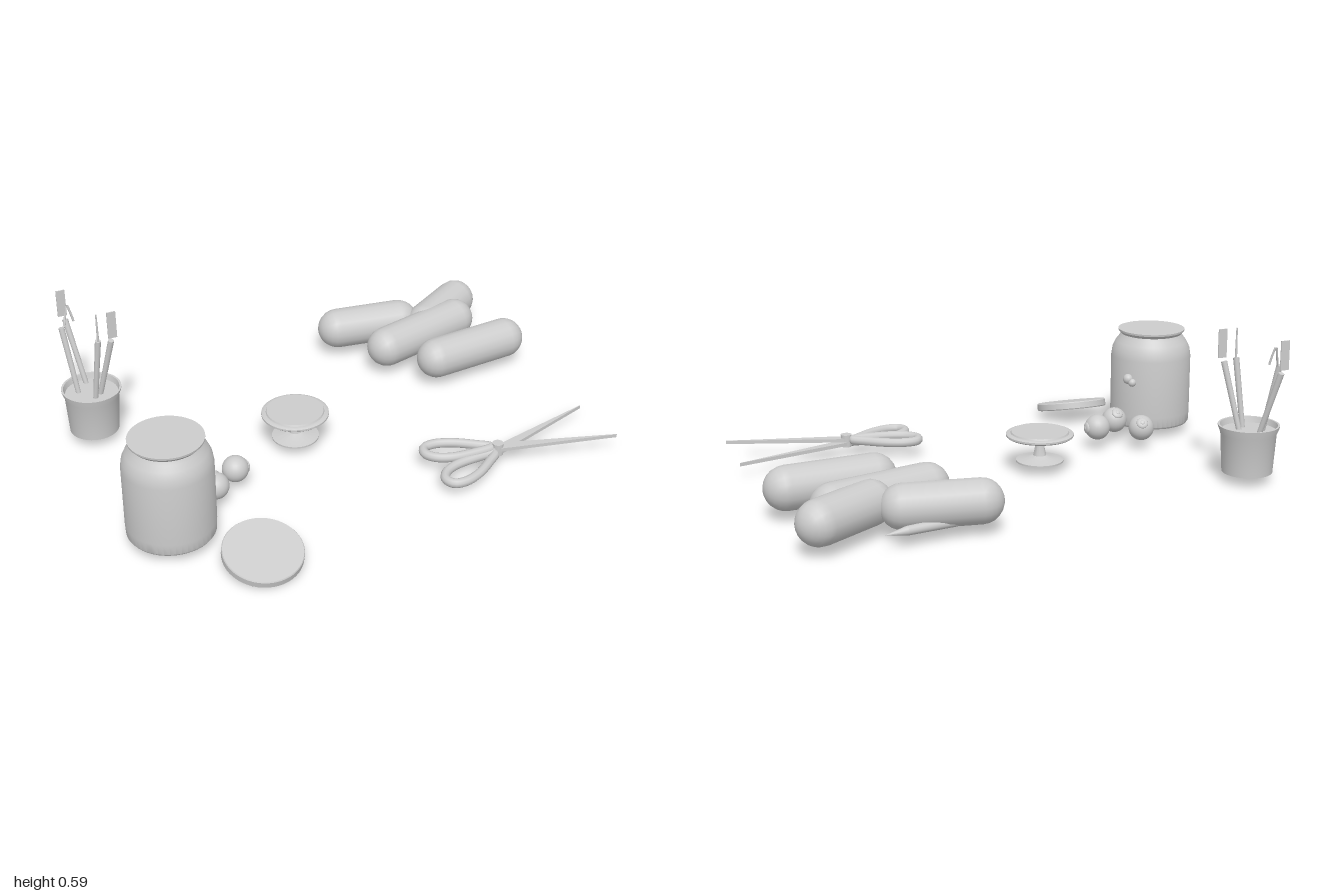
import * as THREE from 'three';
import { toCreasedNormals } from 'three/addons/utils/BufferGeometryUtils.js';

const clay = new THREE.MeshStandardMaterial({ color: 0xcccccc });
clay.name = 'plain grey';

const V = (x, y, z) => new THREE.Vector3(x, y, z);
const UP = V(0, 1, 0);

export function createModel() {
  const root = new THREE.Group();

  function group(name, x = 0, y = 0, z = 0) {
    const g = new THREE.Group();
    g.name = name;
    g.position.set(x, y, z);
    root.add(g);
    return g;
  }
  function add(parent, name, geometry, x = 0, y = 0, z = 0) {
    const m = new THREE.Mesh(geometry, clay);
    m.name = name;
    m.position.set(x, y, z);
    parent.add(m);
    return m;
  }
  // Turned shape, profile listed from bottom centre to top centre
  function turned(profile, sides = 40) {
    const pts = profile.map(([r, y]) => new THREE.Vector2(r, y));
    return toCreasedNormals(new THREE.LatheGeometry(pts, sides), 0.6);
  }
  // Places a y-aligned geometry so that it runs between two points
  function between(parent, name, a, b, makeGeometry) {
    const d = b.clone().sub(a);
    const m = add(parent, name, makeGeometry(d.length()));
    m.position.copy(a).addScaledVector(d, 0.5);
    m.quaternion.setFromUnitVectors(UP, d.normalize());
    return m;
  }

  // Jar with shoulder and flared lip
  const jar = group('jar', -0.832, 0.04, 0.312);
  add(jar, 'jarBody', turned([
    [0, 0], [0.16, 0], [0.166, 0.008], [0.168, 0.05], [0.168, 0.29], [0.163, 0.322],
    [0.15, 0.35], [0.135, 0.37], [0.128, 0.383], [0.139, 0.395], [0.14, 0.403], [0, 0.403],
  ], 48));
  add(jar, 'jarKnob', new THREE.SphereGeometry(0.022, 16, 12), 0.145, 0.213, -0.085);
  add(jar, 'jarKnobSmall', new THREE.SphereGeometry(0.017, 16, 12), 0.135, 0.2, -0.103);

  // Round lid leaning on its edge
  const lid = add(root, 'lid', turned([
    [0, -0.016], [0.147, -0.016], [0.15, -0.012], [0.15, 0.012], [0.147, 0.016], [0, 0.016],
  ], 48), -0.593, 0.053, 0.6);
  lid.rotation.x = 0.255;

  // Tool pot
  const pot = group('toolPot', -0.868, 0.04, -0.468);
  add(pot, 'potBody', turned([
    [0, 0], [0.098, 0], [0.108, 0.155], [0.118, 0.18], [0.119, 0.188], [0.111, 0.188],
    [0.105, 0.165], [0, 0.165],
  ]));

  // Tool handles standing in the pot
  const tools = group('tools');
  const handles = [
    [V(-0.862, 0.18, -0.54), V(-0.905, 0.465, -0.625)],
    [V(-0.913, 0.18, -0.485), V(-0.943, 0.475, -0.548)],
    [V(-0.842, 0.18, -0.45), V(-0.795, 0.465, -0.386)],
    [V(-0.868, 0.18, -0.425), V(-0.847, 0.475, -0.387)],
  ];
  for (const [a, b] of handles) {
    between(tools, 'toolHandle', a, b, (l) => new THREE.CylinderGeometry(0.012, 0.01, l, 12));
  }
  // Flat blades, needle and bent wire at the tool ends
  add(tools, 'flatBlade', new THREE.BoxGeometry(0.036, 0.113, 0.004), -0.912, 0.535, -0.633);
  add(tools, 'flatBlade', new THREE.BoxGeometry(0.036, 0.113, 0.004), -0.789, 0.535, -0.381);
  add(tools, 'needle', new THREE.CylinderGeometry(0.003, 0.005, 0.13, 8), -0.847, 0.527, -0.385);
  const wire = new THREE.CatmullRomCurve3([
    V(-0.93, 0.475, -0.555), V(-0.918, 0.515, -0.568), V(-0.907, 0.555, -0.576),
    V(-0.897, 0.525, -0.57), V(-0.888, 0.485, -0.564),
  ]);
  add(tools, 'bentWire', new THREE.TubeGeometry(wire, 16, 0.0045, 6));

  // Three balls with a raised round spot
  const balls = [
    [-0.665, 0.05, V(0.25, 0.62, -0.72)],
    [-0.5, 0.122, V(1, 0, 0)],
    [-0.61, 0.195, V(0, 0.75, -0.65)],
  ];
  for (const [x, z, dir] of balls) {
    const ball = group('eyeBall', x, 0.092, z);
    add(ball, 'ball', new THREE.SphereGeometry(0.052, 24, 16));
    const spot = new THREE.Group();
    spot.quaternion.setFromUnitVectors(UP, dir.normalize());
    ball.add(spot);
    const iris = add(spot, 'iris', new THREE.SphereGeometry(0.024, 16, 10), 0, 0.047, 0);
    iris.scale.y = 0.4;
    const pupil = add(spot, 'pupil', new THREE.SphereGeometry(0.01, 12, 8), 0, 0.055, 0);
    pupil.scale.y = 0.4;
  }

  // Pedestal stand
  const stand = group('pedestalStand', -0.167, 0.04, -0.06);
  add(stand, 'stand', turned([
    [0, 0], [0.094, 0], [0.094, 0.006], [0.045, 0.016], [0.026, 0.024], [0.02, 0.05],
    [0.015, 0.096], [0.02, 0.1], [0.128, 0.1], [0.134, 0.105], [0.134, 0.112],
    [0.128, 0.116], [0.116, 0.116], [0.113, 0.122], [0, 0.122],
  ], 48));

  // Scissors: two mirrored halves stacked on a pivot
  const scissors = group('scissors', 0.494, 0, 0.4);
  for (const s of [-1, 1]) {
    const y = s < 0 ? 0.069 : 0.054;
    const loop = new THREE.CatmullRomCurve3([
      [-0.02, 0.012], [-0.07, 0.055], [-0.145, 0.106], [-0.215, 0.13], [-0.262, 0.122],
      [-0.277, 0.085], [-0.255, 0.047], [-0.205, 0.02], [-0.13, 0.008],
    ].map(([x, z]) => V(x, y, z * s)), true);
    add(scissors, 'handleLoop', new THREE.TubeGeometry(loop, 56, 0.0185, 10, true));

    const outline = new THREE.Shape([
      [-0.03, -0.012], [0.0, -0.021], [0.04, -0.02], [0.485, -0.001],
      [0.485, 0.001], [0.04, 0.02], [0.0, 0.021], [-0.03, 0.012],
    ].map(([x, z]) => new THREE.Vector2(x, z)));
    const bladeShape = new THREE.ExtrudeGeometry(outline, { depth: 0.014, bevelEnabled: false });
    bladeShape.rotateX(-Math.PI / 2);
    const blade = add(scissors, 'blade', bladeShape, 0, y - 0.007, 0);
    blade.rotation.y = s * 0.275;
  }
  add(scissors, 'pivot', toCreasedNormals(new THREE.CylinderGeometry(0.022, 0.022, 0.05, 20), 0.6), 0, 0.065, 0);

  // Pile of rounded clay rolls
  const rolls = group('clayRolls');
  const ends = [
    [0.3, -0.646, 0.575, -0.605],
    [0.89, -0.66, 0.67, -0.525],
    [0.422, -0.412, 0.8, -0.508],
    [0.568, -0.235, 0.907, -0.263],
  ];
  for (const [x1, z1, x2, z2] of ends) {
    between(rolls, 'clayRoll', V(x1, 0.121, z1), V(x2, 0.121, z2),
      (l) => new THREE.CapsuleGeometry(0.084, l, 6, 18));
  }

  // Pointed stick beside the rolls
  const stick = group('pointedStick');
  between(stick, 'stickBody', V(0.4, 0.065, -0.665), V(0.59, 0.065, -0.697),
    (l) => new THREE.CylinderGeometry(0.017, 0.02, l, 14));
  between(stick, 'stickTip', V(0.59, 0.065, -0.697), V(0.672, 0.065, -0.713),
    (l) => new THREE.CylinderGeometry(0.001, 0.017, l, 14));

  return root;
}
